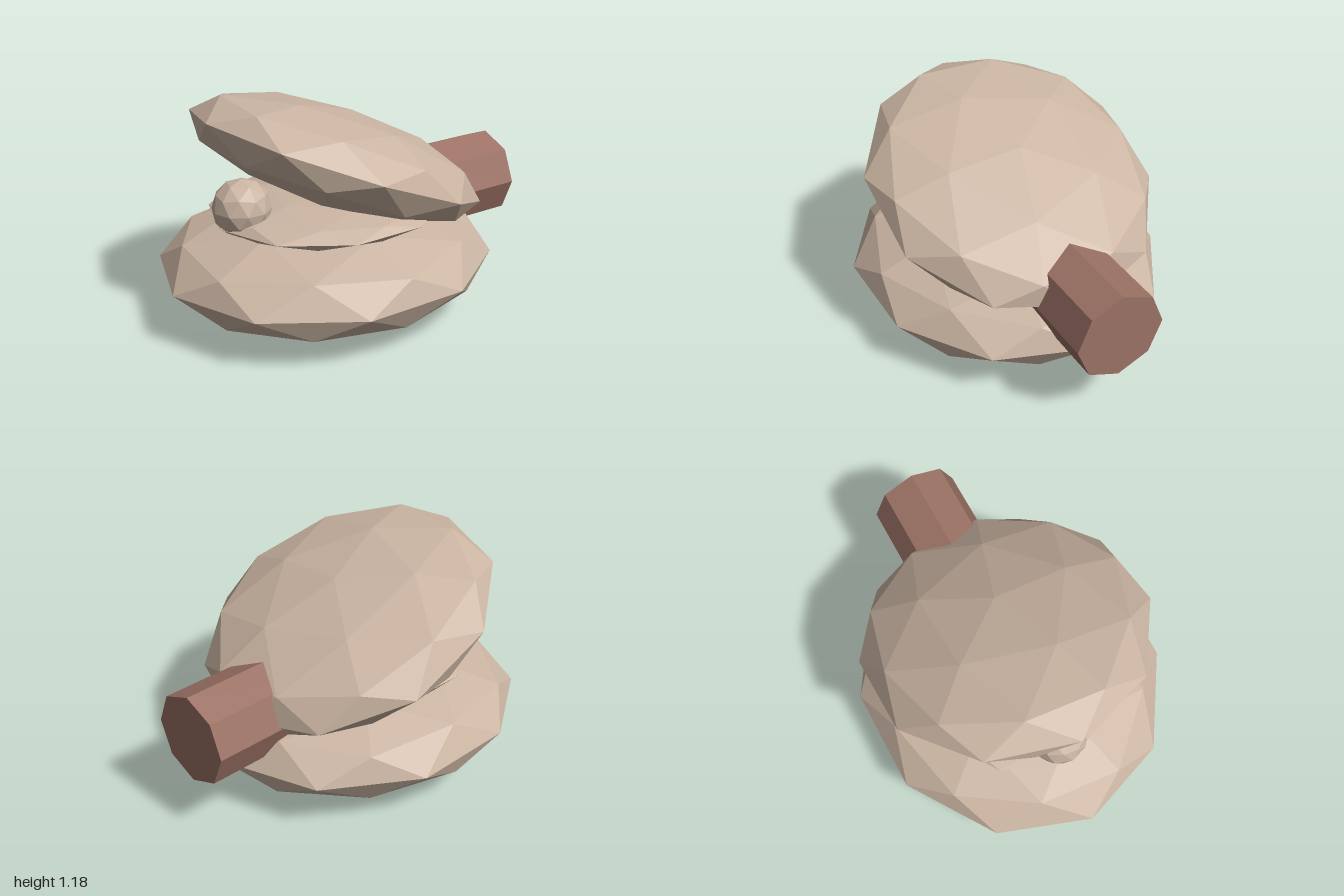
import * as THREE from 'three';

const shellMat = new THREE.MeshStandardMaterial({ color: 0xcbb5a3, flatShading: true });
shellMat.name = 'shell beige';
const stemMat = new THREE.MeshStandardMaterial({ color: 0x9c7265, flatShading: true });
stemMat.name = 'stem brown';

// Faceted ellipsoid: 80-sided icosphere with a corner at each pole
function facetedBlob(name, radii, position, tilt = 0) {
  const geo = new THREE.IcosahedronGeometry(1, 1);
  geo.rotateZ(-Math.atan2(1, (1 + Math.sqrt(5)) / 2));
  geo.scale(...radii);
  geo.computeVertexNormals();
  const mesh = new THREE.Mesh(geo, shellMat);
  mesh.name = name;
  mesh.position.set(...position);
  mesh.rotation.x = tilt;
  return mesh;
}

export function createModel() {
  const model = new THREE.Group();
  model.name = 'openClam';

  model.add(
    facetedBlob('lowerShell', [0.81, 0.28, 0.9], [0, 0.28, 0.1]),
    facetedBlob('upperShell', [0.745, 0.25, 0.81], [0, 0.805, 0.03], -0.389),
    facetedBlob('innerFlesh', [0.567, 0.09, 0.63], [0, 0.56, 0.095]),
    facetedBlob('pearl', [0.15, 0.15, 0.15], [0, 0.65, 0.6])
  );

  // Eight-sided stem out of the hinge
  const stem = new THREE.Mesh(new THREE.CylinderGeometry(0.236, 0.236, 0.54, 8), stemMat);
  stem.name = 'hingeStem';
  stem.rotation.x = Math.PI / 2;
  stem.position.set(0, 0.515, -0.73);
  model.add(stem);

  return model;
}
